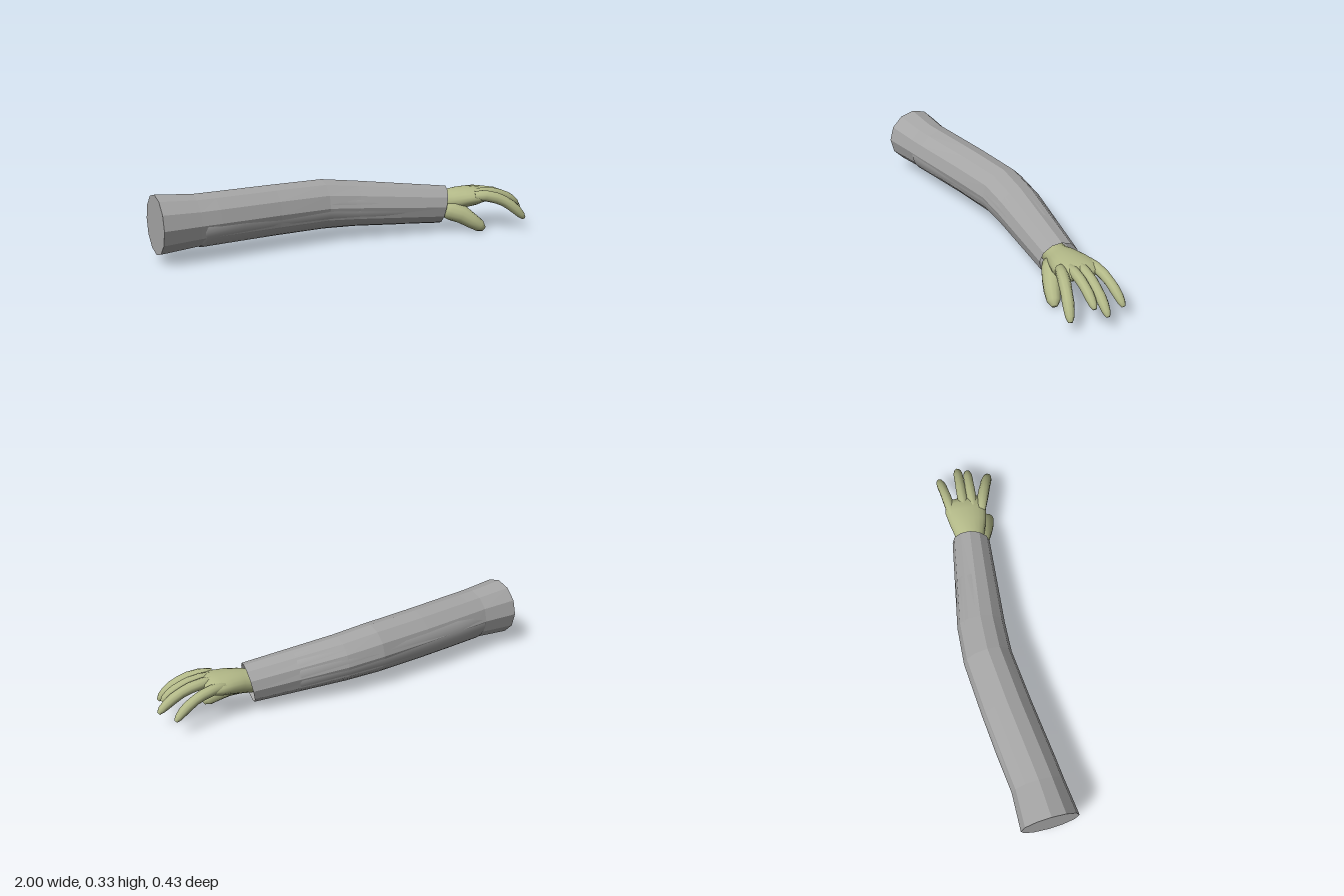
import * as THREE from 'three';

// Skin through elliptical sections [x, y, z, ry, rz, optional slopeY, slopeZ], closed at both ends on request
function loft(sections, { sides = 12, flat = false, inward = false, startCap = true, endCap = true } = {}) {
  const pos = [], index = [];
  const centres = sections.map(s => new THREE.Vector3(s[0], s[1], s[2]));
  const last = sections.length - 1;
  const tri = (a, b, c) => (inward ? index.push(a, c, b) : index.push(a, b, c));
  sections.forEach((s, i) => {
    const t = s.length > 5
      ? new THREE.Vector3(1, s[5], s[6])
      : centres[Math.min(i + 1, last)].clone().sub(centres[Math.max(i - 1, 0)]);
    t.normalize();
    const u = new THREE.Vector3(0, 0, 1).addScaledVector(t, -t.z).normalize();
    const v = u.clone().cross(t);
    for (let j = 0; j < sides; j++) {
      const a = (j / sides) * Math.PI * 2;
      const p = centres[i].clone().addScaledVector(v, Math.cos(a) * s[3]).addScaledVector(u, Math.sin(a) * s[4]);
      pos.push(p.x, p.y, p.z);
    }
  });
  for (let i = 0; i < last; i++) {
    for (let j = 0; j < sides; j++) {
      const k = (j + 1) % sides, a = i * sides, b = a + sides;
      tri(a + j, a + k, b + j);
      tri(a + k, b + k, b + j);
    }
  }
  const cap = (ring, atEnd) => {
    const c = pos.length / 3;
    pos.push(...centres[ring].toArray());
    for (let j = 0; j < sides; j++) {
      const a = ring * sides + j, b = ring * sides + ((j + 1) % sides);
      if (atEnd) tri(c, a, b); else tri(c, b, a);
    }
  };
  if (startCap) cap(0, false);
  if (endCap) cap(last, true);
  let g = new THREE.BufferGeometry();
  g.setAttribute('position', new THREE.Float32BufferAttribute(pos, 3));
  g.setIndex(index);
  if (flat) g = g.toNonIndexed();
  g.computeVertexNormals();
  return g;
}

// Tapered digit bending over from its knuckle to its tip
function digit(base, tip, radius) {
  const a = new THREE.Vector3(...base), b = new THREE.Vector3(...tip);
  const bend = a.clone().lerp(b, 0.6);
  bend.y = a.y + 0.012;
  const curve = new THREE.QuadraticBezierCurve3(a, bend, b);
  const profile = [[0, 0.9], [0.2, 1], [0.4, 1], [0.55, 0.94], [0.7, 0.96], [0.82, 0.88], [0.93, 0.7], [1, 0.35]];
  return loft(profile.map(([t, f]) => [...curve.getPoint(t).toArray(), radius * f, radius * f]), { sides: 10 });
}

export function createModel() {
  const cloth = new THREE.MeshStandardMaterial({ color: 0xa6a6a6 });
  cloth.name = 'grey cloth';
  const skin = new THREE.MeshStandardMaterial({ color: 0xb3b988 });
  skin.name = 'pale green skin';

  const model = new THREE.Group();
  model.name = 'arm';
  const add = (parent, name, geometry, material) => {
    const mesh = new THREE.Mesh(geometry, material);
    mesh.name = name;
    parent.add(mesh);
  };

  // Faceted sleeve, bent at the elbow, with a slanted open cuff
  const cuff = [0.535, 0.137, 0.002, 0.1, 0.097, -0.2, 0.25];
  const sleeve = [
    [-1, 0.19, -0.031, 0.146, 0.146, 0, 0],
    [-0.81, 0.19, -0.036, 0.13, 0.131, 0, 0],
    [-0.72, 0.19, -0.044, 0.129, 0.131],
    [-0.4, 0.189, -0.073, 0.128, 0.128],
    [-0.12, 0.188, -0.091, 0.127, 0.124],
    [0.06, 0.175, -0.076, 0.118, 0.121],
    cuff,
  ];
  add(model, 'sleeve', loft(sleeve, { flat: true, endCap: false }), cloth);

  // Inside of the cuff
  const lining = [[0.4, 0.148, -0.02, 0.08, 0.08, -0.1, 0.15], cuff];
  add(model, 'cuffLining', loft(lining, { flat: true, inward: true, endCap: false }), cloth);

  // Smooth arm under the cloth, pressing through the facets here and there
  const underArm = [
    [-0.86, 0.18, -0.036, 0.1, 0.1],
    [-0.79, 0.18, -0.038, 0.122, 0.129],
    [-0.6, 0.184, -0.057, 0.125, 0.129],
    [-0.4, 0.184, -0.075, 0.124, 0.125],
    [-0.12, 0.184, -0.091, 0.123, 0.121],
    [0.06, 0.174, -0.076, 0.115, 0.118],
    [0.3, 0.155, -0.038, 0.106, 0.106],
    [0.39, 0.15, -0.022, 0.075, 0.075],
  ];
  add(model, 'underArm', loft(underArm, { sides: 32 }), cloth);

  // Hand
  const hand = new THREE.Group();
  hand.name = 'hand';
  model.add(hand);
  const palm = [
    [0.39, 0.14, -0.015, 0.055, 0.058],
    [0.52, 0.145, -0.003, 0.056, 0.065],
    [0.58, 0.158, 0.006, 0.058, 0.08],
    [0.64, 0.168, 0.014, 0.054, 0.097],
    [0.7, 0.174, 0.02, 0.048, 0.108],
    [0.74, 0.177, 0.024, 0.039, 0.104],
    [0.77, 0.177, 0.026, 0.02, 0.085],
  ];
  add(hand, 'palm', loft(palm, { sides: 20 }), skin);

  const thumb = [
    [0.52, 0.125, 0.04, 0.04, 0.04],
    [0.56, 0.112, 0.06, 0.05, 0.05],
    [0.61, 0.092, 0.092, 0.047, 0.047],
    [0.65, 0.062, 0.116, 0.04, 0.04],
    [0.69, 0.034, 0.134, 0.032, 0.032],
    [0.71, 0.018, 0.142, 0.015, 0.015],
  ];
  add(hand, 'thumb', loft(thumb, { sides: 12 }), skin);

  const fingers = {
    indexFinger: [[0.68, 0.187, 0.095], [0.92, 0.065, 0.2], 0.029],
    middleFinger: [[0.7, 0.193, 0.058], [0.95, 0.115, 0.092], 0.026],
    ringFinger: [[0.7, 0.192, 0.01], [0.99, 0.082, 0.047], 0.027],
    littleFinger: [[0.69, 0.184, -0.054], [0.955, 0.08, -0.064], 0.026],
  };
  for (const [name, [base, tip, r]] of Object.entries(fingers)) add(hand, name, digit(base, tip, r), skin);

  return model;
}
